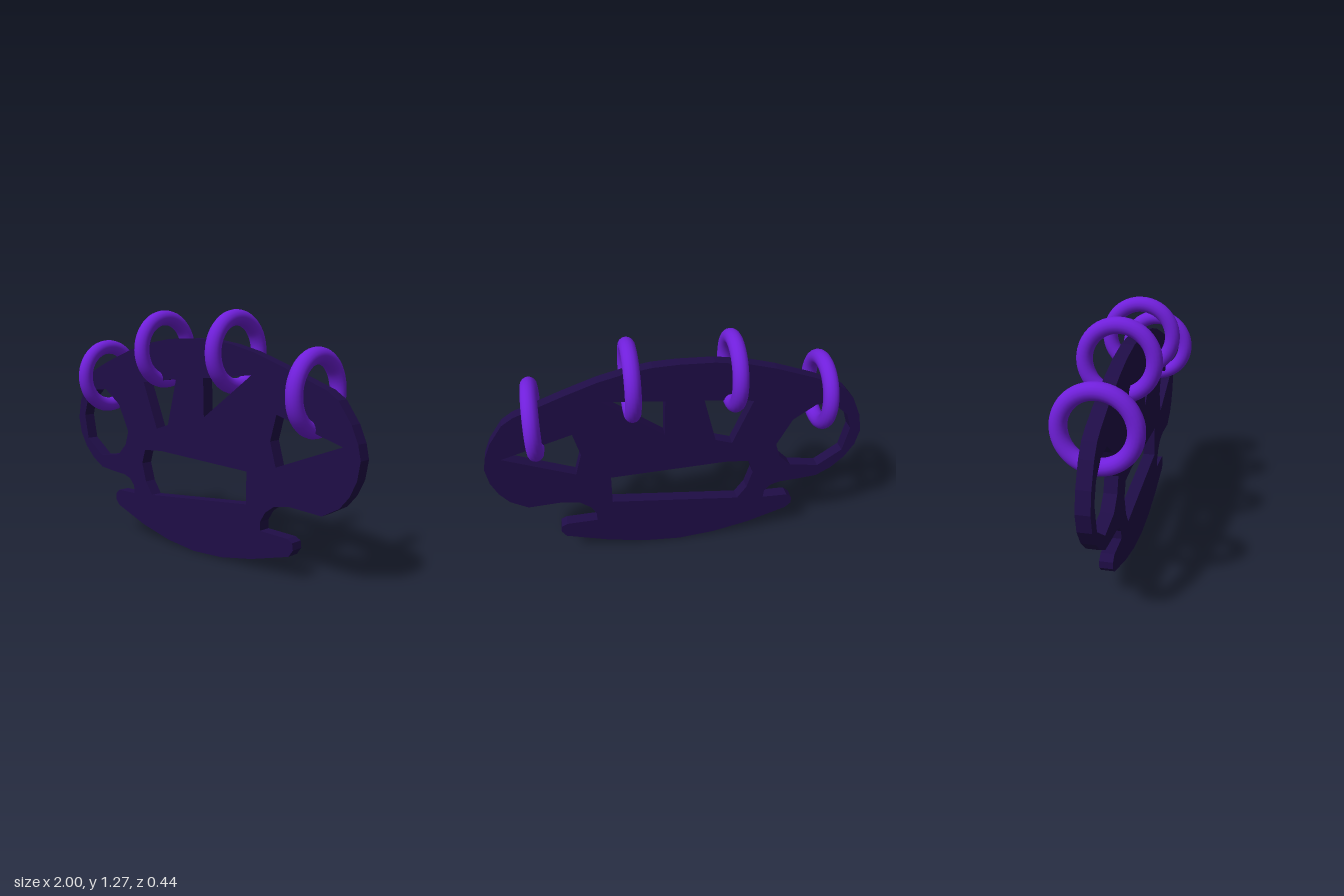
import * as THREE from 'three';

const plateMaterial = new THREE.MeshStandardMaterial({ color: 0x1f0d47, side: THREE.DoubleSide });
const ringMaterial = new THREE.MeshStandardMaterial({ color: 0x701fdb });

const points = (list) => list.map(([x, y]) => new THREE.Vector2(x, y));

// Flat plate: arched top, rounded end lobes, narrow necks and a curved palm bar
function buildPlate() {
  const shape = new THREE.Shape(points([
    [0, 1.125], [0.13, 1.12], [0.26, 1.1], [0.4, 1.065], [0.57, 1.005], [0.7, 0.955], [0.82, 0.91],
    [0.88, 0.87], [0.95, 0.77], [0.985, 0.69], [1, 0.62], [0.985, 0.53], [0.95, 0.455], [0.9, 0.395],
    [0.81, 0.345], [0.72, 0.35], [0.63, 0.355], [0.54, 0.34], [0.485, 0.3], [0.455, 0.25], [0.455, 0.205],
    [0.62, 0.2], [0.65, 0.185], [0.655, 0.15], [0.63, 0.115], [0.4, 0.05], [0.2, 0.012], [0, 0],
    [-0.2, 0.02], [-0.4, 0.065], [-0.62, 0.14], [-0.65, 0.17], [-0.65, 0.205], [-0.62, 0.232],
    [-0.48, 0.235], [-0.485, 0.28], [-0.52, 0.317], [-0.57, 0.333], [-0.68, 0.34], [-0.78, 0.35],
    [-0.86, 0.395], [-0.93, 0.46], [-0.98, 0.54], [-1, 0.63], [-0.98, 0.73], [-0.93, 0.84],
    [-0.88, 0.9], [-0.82, 0.935], [-0.7, 0.985], [-0.5, 1.055], [-0.35, 1.095], [-0.18, 1.12],
  ]));

  const holes = [
    // finger openings
    [[-0.94, 0.65], [-0.91, 0.74], [-0.83, 0.81], [-0.73, 0.82], [-0.61, 0.74], [-0.53, 0.59],
      [-0.555, 0.51], [-0.62, 0.445], [-0.78, 0.42], [-0.91, 0.51]],
    [[-0.39, 0.88], [-0.13, 0.91], [-0.195, 0.66], [-0.285, 0.63]],
    [[0.07, 0.925], [0.39, 0.955], [0.075, 0.725]],
    [[0.545, 0.78], [0.91, 0.67], [0.545, 0.53], [0.51, 0.65]],
    // palm opening
    [[-0.385, 0.5], [-0.25, 0.51], [0.365, 0.485], [0.365, 0.32], [-0.33, 0.25], [-0.38, 0.32], [-0.41, 0.42]],
  ];
  for (const hole of holes) shape.holes.push(new THREE.Path(points(hole)));

  const geometry = new THREE.ExtrudeGeometry(shape, { depth: 0.066, bevelEnabled: false });
  geometry.translate(0, 0, -0.021);
  const plate = new THREE.Mesh(geometry, plateMaterial);
  plate.name = 'gripPlate';
  return plate;
}

export function createModel() {
  const model = new THREE.Group();
  model.name = 'ringedHandGrip';
  model.add(buildPlate());

  // Four upright rings threaded over the top edge
  const ringGeometry = new THREE.TorusGeometry(0.169, 0.04, 16, 48).rotateY(Math.PI / 2);
  const rings = [
    [-0.745, 0.897, 0.007],
    [-0.27, 1.062, -0.01],
    [0.245, 1.06, -0.012],
    [0.728, 0.888, -0.012],
  ];
  rings.forEach((position, i) => {
    const ring = new THREE.Mesh(ringGeometry, ringMaterial);
    ring.name = `knuckleRing${i + 1}`;
    ring.position.set(...position);
    model.add(ring);
  });
  return model;
}
